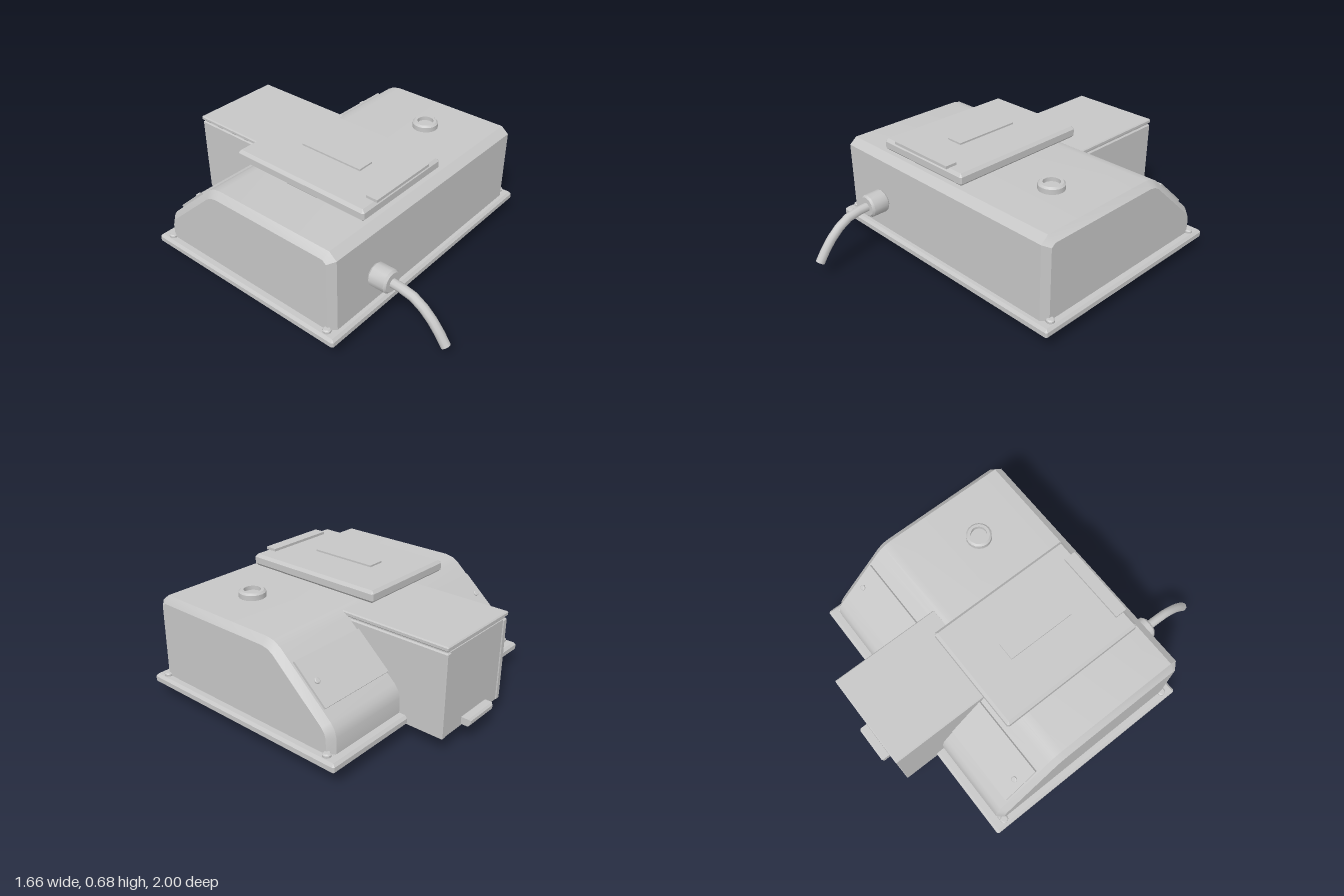
import * as THREE from 'three';
import { toCreasedNormals } from 'three/addons/utils/BufferGeometryUtils.js';

export function createModel() {
  const model = new THREE.Group();
  const grey = new THREE.MeshStandardMaterial({ color: 0xc6c6c6 });
  grey.name = 'plainGrey';

  const add = (name, geometry, x = 0, y = 0, z = 0) => {
    const mesh = new THREE.Mesh(geometry, grey);
    mesh.name = name;
    mesh.position.set(x, y, z);
    model.add(mesh);
    return mesh;
  };

  // Box given by its limits
  const block = (name, [x0, x1], [y0, y1], [z0, z1]) =>
    add(name, new THREE.BoxGeometry(x1 - x0, y1 - y0, z1 - z0),
      (x0 + x1) / 2, (y0 + y1) / 2, (z0 + z1) / 2);

  // Extrusion with one flat bevel that stays inside the outline
  const toPoints = (points) => points.map(([u, v]) => new THREE.Vector2(u, v));
  const bevelled = (points, depth, c, hole) => {
    const shape = new THREE.Shape(toPoints(points));
    if (hole) shape.holes.push(new THREE.Path(toPoints(hole)));
    const g = new THREE.ExtrudeGeometry(shape, {
      depth: depth - 2 * c, bevelEnabled: true, bevelSegments: 1,
      bevelSize: c, bevelThickness: c, bevelOffset: -c,
    });
    return g.translate(0, 0, c - depth / 2);
  };

  // Slab with chamfered edges, clipped corners and an optional frame width
  const slab = (name, [x0, x1], [y0, y1], [z0, z1], c, frame) => {
    const w = (x1 - x0) / 2, d = (z1 - z0) / 2, k = c * 0.6;
    const outline = [[-w + k, -d], [w - k, -d], [w, -d + k], [w, d - k],
      [w - k, d], [-w + k, d], [-w, d - k], [-w, -d + k]];
    const a = w - frame, b = d - frame;
    const hole = frame && [[-a, -b], [-a, b], [a, b], [a, -b]];
    const g = bevelled(outline, y1 - y0, c, hole).rotateX(-Math.PI / 2);
    return add(name, g, (x0 + x1) / 2, (y0 + y1) / 2, (z0 + z1) / 2);
  };

  // Turned part from [radius, height] points
  const turned = (points, segments) => toCreasedNormals(new THREE.LatheGeometry(
    points.map(([r, h]) => new THREE.Vector2(r, h)), segments), 0.6);

  // Base flange around a recessed floor, with corner screws
  slab('baseFlange', [-0.83, 0.83], [0.08, 0.135], [-0.735, 0.57], 0.014, 0.066);
  block('recessedFloor', [-0.785, 0.785], [0.112, 0.133], [-0.69, 0.525]);
  const screw = turned([[0, 0], [0.023, 0], [0.023, 0.014], [0.016, 0.02], [0, 0.02]], 12);
  for (const x of [-0.79, 0.79])
    for (const z of [-0.66, 0.5]) add('cornerScrew', screw, x, 0.133, z);

  // Housing: side profile as [-z, y], swept across x
  const bottom = 0.115;
  const profile = [[-0.535, bottom], [-0.535, 0.563], [-0.49, 0.6], [0.25, 0.6], [0.3, 0.591],
    [0.34, 0.567], [0.65, 0.29], [0.672, 0.26], [0.684, 0.22], [0.685, bottom]];
  const housing = bevelled(profile, 1.57, 0.035).rotateY(Math.PI / 2);
  // Square off the bevel along the bottom edge, inside the flange
  const corners = housing.attributes.position;
  for (let i = 0; i < corners.count; i++)
    if (corners.getY(i) < bottom + 0.04) corners.setY(i, bottom);
  add('housing', toCreasedNormals(housing, 0.5));

  // Top lid, its label strip and its front latch
  slab('topLid', [-0.49, 0.14], [0.6, 0.669], [-0.395, 0.475], 0.016);
  block('lidStrip', [-0.23, -0.13], [0.666, 0.679], [-0.165, 0.237]);
  block('lidLatch', [-0.39, 0.035], [0.668, 0.684], [0.41, 0.479]);

  // Ring button
  add('ringButton', turned([[0.073, 0], [0.073, 0.028], [0.062, 0.038], [0.046, 0.038],
    [0.046, 0.015], [0, 0.015]], 20), 0.462, 0.6, 0.152);

  // Panel lying on the sloped back, with a screw at each end
  const panel = new THREE.Group();
  panel.name = 'slopePanel';
  panel.position.set(0, 0.423, -0.504);
  panel.rotation.x = -Math.atan2(0.277, 0.31);
  model.add(panel);
  panel.add(add('panelPlate', new THREE.BoxGeometry(1.478, 0.022, 0.262)));
  for (const x of [-0.69, 0.69]) panel.add(add('panelScrew', screw.clone().scale(0.7, 0.5, 0.7), x, 0.01, 0));

  // Rear bin, open underneath, its side walls running forward under the floor
  for (const [x0, x1] of [[-0.27, -0.238], [0.238, 0.27]]) {
    slab('binSide', [x0, x1], [0.082, 0.552], [-0.945, -0.31], 0.006);
    slab('slideRail', [x0, x1], [0.082, 0.125], [-0.945, -0.08], 0.006);
  }
  block('binBack', [-0.24, 0.24], [0.085, 0.552], [-0.94, -0.922]);
  block('binTop', [-0.26, 0.26], [0.545, 0.566], [-0.935, -0.32]);
  slab('binLid', [-0.277, 0.273], [0.562, 0.588], [-0.946, -0.3], 0.006);

  // Bin handle
  const handle = bevelled([[-0.113, -0.02], [0.113, -0.02], [0.113, 0.02], [-0.113, 0.02]], 0.06, 0.01);
  add('binHandle', handle, 0, 0.125, -0.97);

  // Hanging stop plate with its roller
  block('stopPlate', [-0.288, 0.286], [0, 0.115], [-0.087, -0.075]);
  const roller = (name, r, length) =>
    add(name, new THREE.CylinderGeometry(r, r, length, 16).rotateZ(Math.PI / 2), 0, 0.08, -0.08);
  roller('rollerRod', 0.03, 0.47);
  roller('rollerSleeve', 0.05, 0.15);

  // Cable gland and drooping cable
  add('cableGland', turned([[0, 0], [0.056, 0], [0.066, 0.012], [0.066, 0.103],
    [0.056, 0.115], [0, 0.115]], 12).rotateX(Math.PI / 2), -0.468, 0.313, 0.533);
  const path = new THREE.CatmullRomCurve3([[0.63, 0.312], [0.7, 0.308], [0.79, 0.287],
    [0.9, 0.2], [0.978, 0.095]].map(([z, y]) => new THREE.Vector3(-0.468, y, z)));
  add('cable', new THREE.TubeGeometry(path, 6, 0.026, 10));
  const end = add('cableEnd', new THREE.CircleGeometry(0.026, 10), -0.468, 0.095, 0.978);
  end.lookAt(end.position.clone().add(path.getTangent(1)));

  return model;
}
